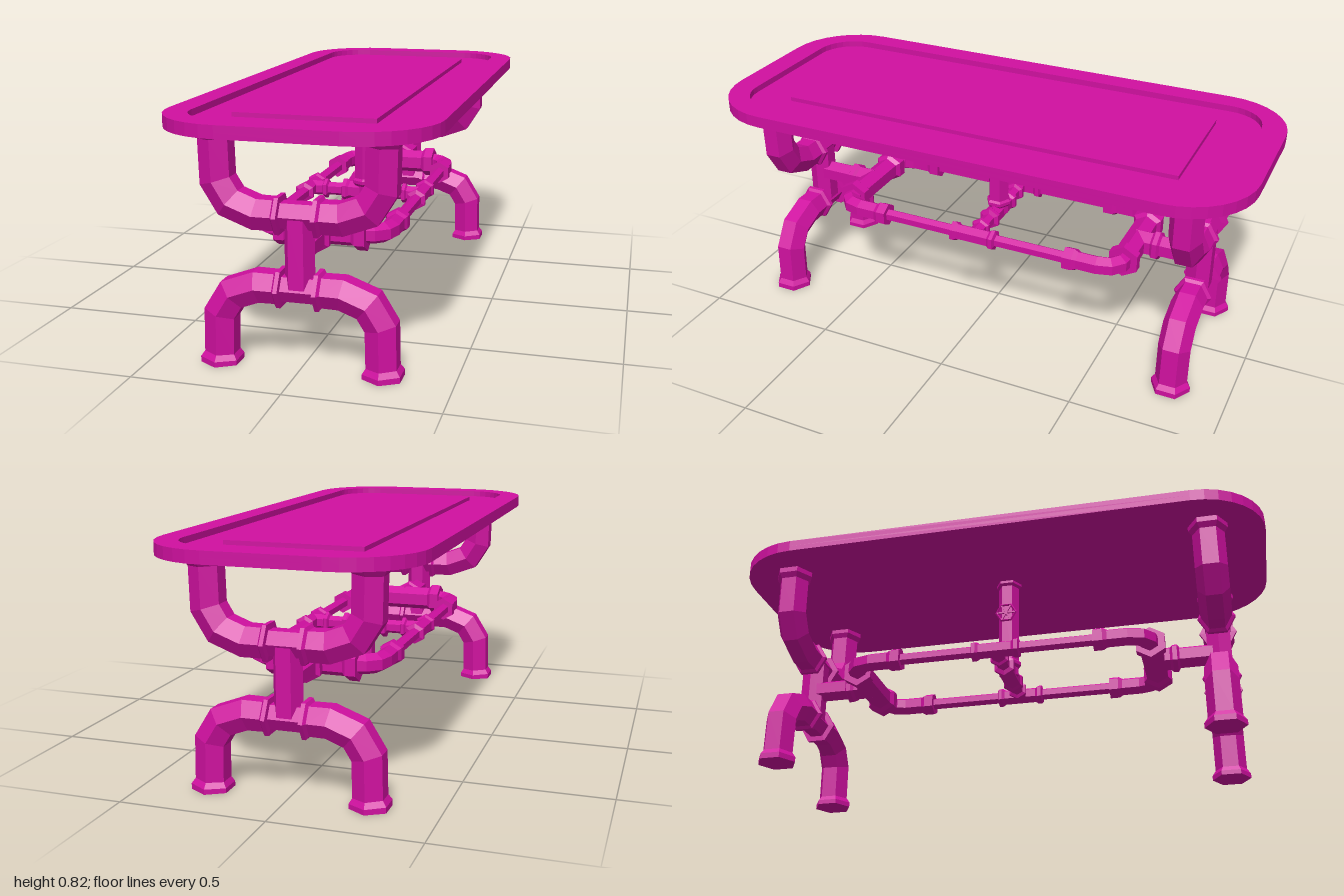
import * as THREE from 'three';

const material = new THREE.MeshStandardMaterial({ color: 0xd010a0, flatShading: true });
const X = new THREE.Vector3(1, 0, 0), Y = new THREE.Vector3(0, 1, 0), Z = new THREE.Vector3(0, 0, 1);

function add(parent, name, geometry) {
  const mesh = new THREE.Mesh(geometry, material);
  mesh.name = name;
  parent.add(mesh);
  return mesh;
}

// Six-sided pipe through [x, y, z, radius] points, mitred at bends;
// normal is square to the path and points at one corner of the hexagon.
function pipe(points, normal, sides = 6) {
  const centers = points.map(p => new THREE.Vector3(p[0], p[1], p[2]));
  const last = points.length - 1;
  const rings = centers.map((c, i) => {
    const before = centers[Math.min(i + 1, last)].clone().sub(centers[Math.min(i, last - 1)]).normalize();
    const after = i > 0 ? c.clone().sub(centers[i - 1]).normalize() : before;
    const tangent = before.clone().add(after).normalize();
    const miter = 1 / tangent.dot(before);
    const side = normal.clone().cross(tangent).normalize();
    return Array.from({ length: sides }, (_, k) => {
      const a = k / sides * Math.PI * 2, r = points[i][3];
      return c.clone().addScaledVector(normal, Math.cos(a) * r).addScaledVector(side, Math.sin(a) * r * miter);
    });
  });
  const v = [];
  const tri = (...corners) => corners.forEach(p => v.push(p.x, p.y, p.z));
  for (let k = 0; k < sides; k++) {
    const n = (k + 1) % sides;
    for (let i = 0; i < last; i++) {
      tri(rings[i][k], rings[i + 1][k], rings[i + 1][n]);
      tri(rings[i][k], rings[i + 1][n], rings[i][n]);
    }
    tri(centers[0], rings[0][k], rings[0][n]);
    tri(centers[last], rings[last][n], rings[last][k]);
  }
  const g = new THREE.BufferGeometry();
  g.setAttribute('position', new THREE.Float32BufferAttribute(v, 3));
  g.computeVertexNormals();
  return g;
}

// Completes a half path with its mirror image along one axis
function mirrored(half, axis) {
  const other = half.map(p => p.map((c, i) => (i === axis ? -c : c))).reverse();
  return [...half, ...other];
}

function roundedRect(path, w, l, r) {
  path.absarc(w - r, l - r, r, 0, Math.PI / 2);
  path.absarc(r - w, l - r, r, Math.PI / 2, Math.PI);
  path.absarc(r - w, r - l, r, Math.PI, Math.PI * 1.5);
  path.absarc(w - r, r - l, r, Math.PI * 1.5, Math.PI * 2);
  path.closePath();
  return path;
}

function slab(shape, y0, y1) {
  const g = new THREE.ExtrudeGeometry(shape, { depth: y1 - y0, bevelEnabled: false, curveSegments: 4 });
  return g.rotateX(-Math.PI / 2).translate(0, y0, 0);
}

function buildTop() {
  const top = new THREE.Group();
  top.name = 'tableTop';
  const outline = () => roundedRect(new THREE.Shape(), 0.445, 1, 0.255);
  const rim = outline();
  rim.holes.push(roundedRect(new THREE.Path(), 0.36, 0.908, 0.14));
  add(top, 'topBase', slab(outline(), 0.78, 0.8));
  add(top, 'topRim', slab(rim, 0.8, 0.822));
  add(top, 'raisedPanel', new THREE.BoxGeometry(0.47, 0.016, 1.49).translate(0, 0.807, 0));
  return top;
}

// Foot arch, mirrored arch above it and the column between them
function buildEndFrame(z) {
  const frame = new THREE.Group();
  frame.name = 'endFrame';
  const half = [
    [0.271, 0, 0, 0.071], [0.271, 0.018, 0, 0.071], [0.27, 0.036, 0, 0.058],
    [0.267, 0.17, 0, 0.058], [0.225, 0.238, 0, 0.058], [0.14, 0.27, 0, 0.058],
    [0.078, 0.27, 0, 0.057], [0.07, 0.27, 0, 0.069], [0.056, 0.27, 0, 0.069], [0.055, 0.27, 0, 0.047],
  ];
  const arch = mirrored(half, 0);
  add(frame, 'footArch', pipe(arch, Z));
  add(frame, 'supportArch', pipe(arch.map(([x, y, d, r]) => [x, 0.78 - y, d, r]), Z));
  add(frame, 'column', pipe([[0, 0.27, 0, 0.05], [0, 0.51, 0, 0.05]], X));
  frame.position.z = z;
  return frame;
}

const PIPE_Y = 0.393, ROD_X = 0.217;

// Branching fitting that joins an end frame to the two long rods
function buildBranch() {
  const branch = new THREE.Group();
  branch.name = 'stretcherBranch';
  const stem = [[0.8, 0.042], [0.65, 0.042], [0.642, 0.056], [0.625, 0.056], [0.615, 0.046], [0.55, 0.046]];
  add(branch, 'stem', pipe(stem.map(([z, r]) => [0, PIPE_Y, z, r]), Y));
  const arms = [[0.157, 0.06], [0.122, 0.06], [0.108, 0.046]];
  add(branch, 'tee', pipe(mirrored(arms.map(([x, r]) => [x, PIPE_Y, 0.555, r]), 0), Y));
  for (const s of [-1, 1]) {
    const elbow = [
      [0.14, 0.555, 0.035], [0.175, 0.55, 0.035], [0.205, 0.525, 0.035], [ROD_X, 0.48, 0.035],
      [ROD_X, 0.41, 0.035], [ROD_X, 0.395, 0.044], [ROD_X, 0.36, 0.044],
    ];
    add(branch, 'elbow', pipe(elbow.map(([x, z, r]) => [s * x, PIPE_Y, z, r]), Y));
  }
  return branch;
}

function buildCentre() {
  const centre = new THREE.Group();
  centre.name = 'centreSupport';
  // Long rods with a coupling in the middle
  const rod = mirrored([[0.4, 0.023], [0.091, 0.023], [0.086, 0.039], [0.072, 0.039], [0.062, 0.031]]
    .map(([z, r]) => [0, PIPE_Y, z, r]), 2);
  for (const s of [-1, 1]) add(centre, 'longRod', pipe(rod, Y)).position.x = s * ROD_X;
  // Cross bar with collars at the post and rods
  const bar = [
    [ROD_X, 0.028], [0.165, 0.028], [0.16, 0.038], [0.148, 0.038], [0.143, 0.025],
    [0.09, 0.025], [0.085, 0.042], [0.07, 0.042], [0.06, 0.034],
  ];
  add(centre, 'crossBar', pipe(mirrored(bar.map(([x, r]) => [x, PIPE_Y, 0, r]), 0), Y));
  const post = [[0.385, 0.038], [0.415, 0.038], [0.425, 0.048], [0.437, 0.048], [0.445, 0.04], [0.762, 0.04], [0.77, 0.05], [0.781, 0.05]];
  add(centre, 'post', pipe(post.map(([y, r]) => [0, y, 0, r]), Z));
  // Small hand wheel on the post
  const wheel = new THREE.Group();
  wheel.name = 'handWheel';
  add(wheel, 'wheelRim', new THREE.TorusGeometry(0.038, 0.005, 4, 6).rotateY(Math.PI / 2));
  for (let i = 0; i < 3; i++) {
    add(wheel, 'spoke', new THREE.BoxGeometry(0.006, 0.006, 0.074)).rotation.x = i * Math.PI / 3;
  }
  add(wheel, 'stem', new THREE.CylinderGeometry(0.005, 0.005, 0.03, 6).rotateZ(Math.PI / 2)).position.x = 0.013;
  wheel.position.set(-0.052, 0.633, 0);
  centre.add(wheel);
  return centre;
}

export function createModel() {
  const model = new THREE.Group();
  model.name = 'pipeTable';
  model.add(buildTop(), buildCentre());
  for (const s of [-1, 1]) {
    model.add(buildEndFrame(s * 0.795));
    const branch = buildBranch();
    branch.rotation.y = s > 0 ? 0 : Math.PI;
    model.add(branch);
  }
  return model;
}
